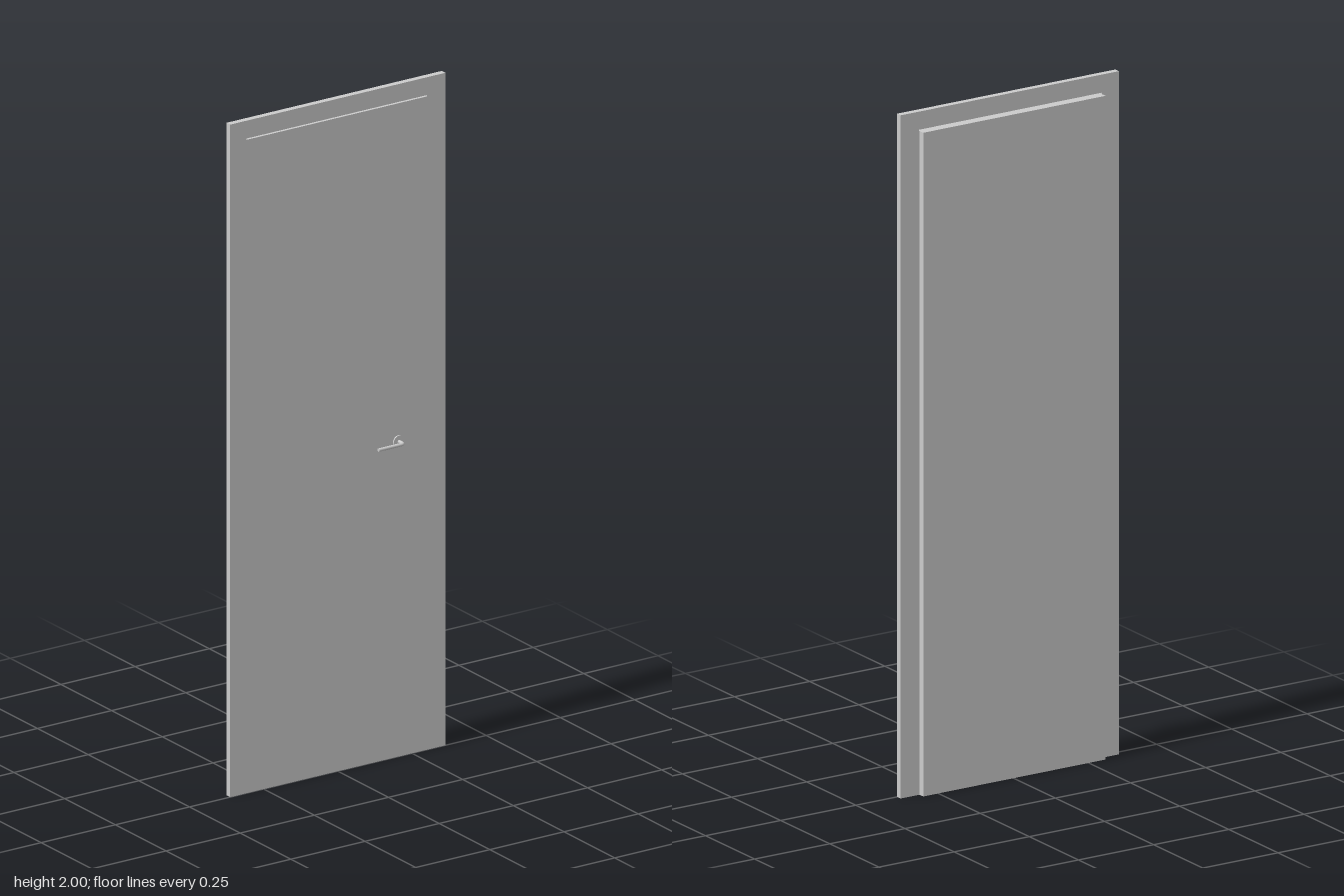
import * as THREE from 'three';

const material = new THREE.MeshStandardMaterial({ color: 0xcccccc, roughness: 0.7 });

function addPart(parent, name, geometry, x = 0, y = 0, z = 0) {
  const mesh = new THREE.Mesh(geometry, material);
  mesh.name = name;
  mesh.position.set(x, y, z);
  parent.add(mesh);
  return mesh;
}

function rectangle(PathType, x0, y0, x1, y1) {
  const path = new PathType();
  path.moveTo(x0, y0);
  path.lineTo(x1, y0);
  path.lineTo(x1, y1);
  path.lineTo(x0, y1);
  path.closePath();
  return path;
}

export function createModel() {
  const door = new THREE.Group();
  door.name = 'door';

  // Front panel with a narrow gap above the leaf
  const face = rectangle(THREE.Shape, -0.363, 0, 0.363, 2);
  face.holes.push(rectangle(THREE.Path, -0.307, 1.943, 0.301, 1.947));
  const depth = 0.018;
  addPart(door, 'frontPanel', new THREE.ExtrudeGeometry(face, { depth, bevelEnabled: false }), 0, 0, -depth);

  // Smaller leaf standing proud of the back
  addPart(door, 'backLeaf', new THREE.BoxGeometry(0.606, 1.943, 0.019), -0.003, 1.943 / 2, -0.0275);

  // Lever handle on a round rosette
  const handle = new THREE.Group();
  handle.name = 'handle';
  handle.position.set(0.204, 0.938, 0);
  door.add(handle);
  addPart(handle, 'rosette', new THREE.CylinderGeometry(0.018, 0.018, 0.004, 32), 0, 0, 0.002)
    .rotation.x = Math.PI / 2;

  // Stem, rounded bend and lever follow one path
  const v = (x, y, z) => new THREE.Vector3(x, y, z);
  const path = new THREE.CurvePath();
  path.add(new THREE.LineCurve3(v(0, 0, 0.002), v(0, 0, 0.018)));
  path.add(new THREE.QuadraticBezierCurve3(v(0, 0, 0.018), v(0, 0, 0.0265), v(-0.009, 0, 0.0268)));
  path.add(new THREE.LineCurve3(v(-0.009, 0, 0.0268), v(-0.087, 0.001, 0.0295)));
  addPart(handle, 'lever', new THREE.TubeGeometry(path, 48, 0.005, 16));

  // Flat cap closing the free end of the lever
  addPart(handle, 'leverEnd', new THREE.CircleGeometry(0.005, 16), -0.087, 0.001, 0.0295)
    .rotation.y = -Math.PI / 2;

  return door;
}
